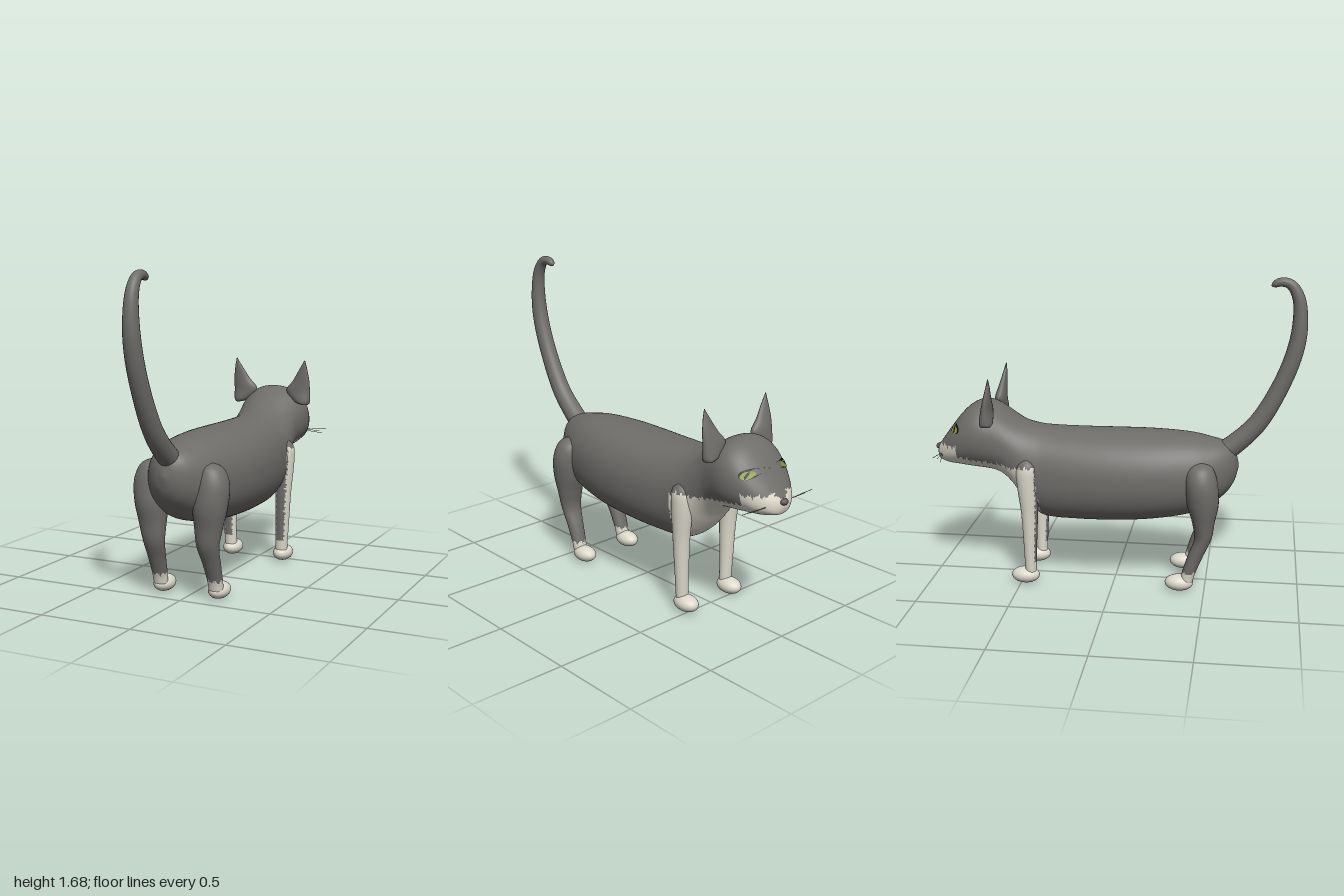
import * as THREE from 'three';

const mat = (name, color, side = THREE.FrontSide) => {
  const m = new THREE.MeshStandardMaterial({ color, side });
  m.name = name;
  return m;
};

// Smooth interpolation of key rows [position, value, value...] with ascending positions
function sampler(keys) {
  const slope = (i, k) => {
    const a = keys[Math.max(i - 1, 0)], b = keys[Math.min(i + 1, keys.length - 1)];
    return (b[k] - a[k]) / (b[0] - a[0]);
  };
  return (p) => {
    let i = 0;
    while (i < keys.length - 2 && p > keys[i + 1][0]) i++;
    const a = keys[i], b = keys[i + 1], h = b[0] - a[0], t = (p - a[0]) / h;
    const t2 = t * t, t3 = t2 * t;
    return a.slice(1).map((v, j) =>
      v * (2 * t3 - 3 * t2 + 1) + b[j + 1] * (3 * t2 - 2 * t3) +
      slope(i, j + 1) * h * (t3 - 2 * t2 + t) + slope(i + 1, j + 1) * h * (t3 - t2));
  };
}

// Closed skin through rings fn(u, angle) -> [x, y, z]; paint(centroid) picks the material index
function skin(name, nu, nv, fn, materials, paint = () => 0) {
  const pos = [], lists = materials.map(() => []), tris = [];
  for (let i = 0; i <= nu; i++)
    for (let j = 0; j < nv; j++) pos.push(...fn(i / nu, (j / nv) * Math.PI * 2));
  for (let i = 0; i < nu; i++)
    for (let j = 0; j < nv; j++) {
      const k = (j + 1) % nv, a = i * nv + j, b = i * nv + k, c = a + nv, d = b + nv;
      tris.push([a, b, d], [a, d, c]);
    }
  for (let j = 1; j < nv - 1; j++) {
    tris.push([0, j + 1, j], [nu * nv, nu * nv + j, nu * nv + j + 1]);
  }
  const P = (i) => new THREE.Vector3().fromArray(pos, i * 3);
  const volume = tris.reduce((s, t) => s + P(t[0]).dot(P(t[1]).cross(P(t[2]))), 0);
  for (const [a, b, c] of tris) {
    const mid = P(a).add(P(b)).add(P(c)).divideScalar(3);
    lists[paint(mid)].push(...(volume > 0 ? [a, b, c] : [a, c, b]));
  }
  const g = new THREE.BufferGeometry();
  g.setAttribute('position', new THREE.Float32BufferAttribute(pos, 3));
  g.setIndex(lists.flat());
  let start = 0;
  lists.forEach((l, i) => { g.addGroup(start, l.length, i); start += l.length; });
  g.computeVertexNormals();
  const mesh = new THREE.Mesh(g, materials);
  mesh.name = name;
  return mesh;
}

// Torso and head: z, top, bottom, half width
const BODY = [
  [-0.987, 0.705, 0.69, 0.006], [-0.975, 0.735, 0.658, 0.05], [-0.95, 0.772, 0.645, 0.092],
  [-0.9, 0.84, 0.635, 0.138], [-0.85, 0.905, 0.63, 0.167], [-0.8, 0.955, 0.625, 0.187],
  [-0.75, 0.983, 0.62, 0.199], [-0.7, 0.99, 0.615, 0.2], [-0.65, 0.975, 0.605, 0.193],
  [-0.6, 0.945, 0.58, 0.187], [-0.55, 0.91, 0.53, 0.19], [-0.5, 0.882, 0.46, 0.198],
  [-0.45, 0.867, 0.4, 0.205], [-0.38, 0.856, 0.355, 0.213], [-0.2, 0.85, 0.345, 0.235],
  [0, 0.85, 0.35, 0.25], [0.2, 0.85, 0.365, 0.245], [0.4, 0.84, 0.4, 0.212],
  [0.5, 0.822, 0.44, 0.178], [0.6, 0.795, 0.52, 0.115], [0.645, 0.75, 0.59, 0.06],
  [0.664, 0.68, 0.66, 0.008]];
// Legs: y, x, z, half width, half depth
const FRONT_LEG = [
  [0.05, 0.16, -0.447, 0.034, 0.03], [0.2, 0.165, -0.447, 0.038, 0.035],
  [0.4, 0.17, -0.447, 0.045, 0.045], [0.6, 0.176, -0.455, 0.054, 0.058],
  [0.68, 0.18, -0.455, 0.044, 0.05], [0.72, 0.18, -0.455, 0.006, 0.008]];
const HIND_LEG = [
  [0.05, 0.16, 0.405, 0.038, 0.033], [0.1, 0.16, 0.415, 0.041, 0.036],
  [0.2, 0.158, 0.45, 0.048, 0.041], [0.3, 0.155, 0.488, 0.06, 0.046],
  [0.4, 0.16, 0.49, 0.075, 0.061], [0.5, 0.166, 0.485, 0.09, 0.084],
  [0.6, 0.173, 0.477, 0.091, 0.087], [0.67, 0.17, 0.47, 0.076, 0.077],
  [0.71, 0.165, 0.47, 0.048, 0.05], [0.725, 0.165, 0.47, 0.006, 0.008]];
// Ears: y, x, z, half width, half depth
const EAR = [
  [0.89, 0.21, -0.668, 0.02, 0.028], [0.905, 0.193, -0.668, 0.046, 0.036],
  [0.97, 0.168, -0.667, 0.072, 0.031], [1.03, 0.189, -0.66, 0.05, 0.022],
  [1.1, 0.206, -0.65, 0.023, 0.011], [1.15, 0.216, -0.645, 0.002, 0.002]];

const N = 2.2; // roundness of the torso section
const body = sampler(BODY);

function bodyPoint(z, a) {
  const [top, bottom, w] = body(z), c = Math.cos(a), s = Math.sin(a);
  const r = (v) => Math.sign(v) * Math.abs(v) ** (2 / N);
  return [w * r(c), (top + bottom) / 2 + ((top - bottom) / 2) * r(s), z];
}

// Thin oval plate lying on the side of the head
function headPatch(name, side, y0, z0, ry, rz, lift, material) {
  const g = new THREE.CircleGeometry(1, 28), p = g.attributes.position;
  for (let i = 0; i < p.count; i++) {
    const z = z0 + p.getX(i) * rz, y = y0 + p.getY(i) * ry;
    const [top, bottom, w] = body(z);
    const k = Math.min(1, Math.abs((y - (top + bottom) / 2) / ((top - bottom) / 2)));
    p.setXYZ(i, side * (w * (1 - k ** N) ** (1 / N) + lift), y, z);
  }
  g.computeVertexNormals();
  const mesh = new THREE.Mesh(g, material);
  mesh.name = name;
  return mesh;
}

export function createModel() {
  const cat = new THREE.Group();
  cat.name = 'cat';
  const grey = mat('grey fur', 0x6f6d6a), white = mat('white fur', 0xdbd7ca);
  const black = mat('black', 0x0c0c0a, THREE.DoubleSide);
  const green = mat('eye green', 0x8a9a38, THREE.DoubleSide);
  const noseGrey = mat('nose grey', 0x5f5856), whiskerGrey = mat('whisker grey', 0x8c8c88);

  // Torso and head, with white chest, throat and muzzle
  const z0 = BODY[0][0], z1 = BODY[BODY.length - 1][0];
  const jag = (v) => 0.007 * Math.sin(v * 190) + 0.005 * Math.sin(v * 421);
  cat.add(skin('torsoAndHead', 200, 80, (u, a) => {
    const t = 0.5 - 0.5 * Math.cos(u * Math.PI); // rings gather at the ends
    return bodyPoint(z0 + (z1 - z0) * (0.5 * t + 0.5 * u), a);
  }, [grey, white], ({ x, y, z }) => {
    if (z > -0.4 + jag(x)) return 0;
    const edge = z < -0.845 ? 0.755 - 0.02 * Math.max(0, 1 - Math.abs(x) / 0.04)
      : 0.64 + (-0.4 - z) * 0.14;
    return y < edge + jag(z) ? 1 : 0;
  }));

  const column = (name, keys, side, nu, materials, paint) => {
    const f = sampler(keys), lo = keys[0][0], hi = keys[keys.length - 1][0];
    return skin(name, nu, 32, (u, a) => {
      const y = lo + (hi - lo) * u, [x, z, rx, rz] = f(y);
      return [side * (x + rx * Math.cos(a)), y, z + rz * Math.sin(a)];
    }, materials, paint);
  };

  for (const side of [1, -1]) {
    const label = side > 0 ? 'left' : 'right';
    // Front legs are white with a grey back; hind legs are grey with white ankles
    const front = sampler(FRONT_LEG);
    cat.add(column(label + 'FrontLeg', FRONT_LEG, side, 60, [grey, white], ({ y, z }) => {
      const [, cz, , rz] = front(y);
      return y > 0.67 + jag(z) || (y > 0.13 && z > cz + rz * (0.78 + 8 * jag(y))) ? 0 : 1;
    }));
    cat.add(column(label + 'HindLeg', HIND_LEG, side, 70, [grey, white],
      ({ x, y }) => (y < 0.11 + jag(x) ? 1 : 0)));
    for (const [name, z] of [['FrontPaw', -0.477], ['HindPaw', 0.365]]) {
      const paw = new THREE.Mesh(new THREE.SphereGeometry(1, 28, 18), white);
      paw.name = label + name;
      paw.scale.set(0.054, 0.044, 0.077);
      paw.position.set(side * 0.16, 0.047, z);
      cat.add(paw);
    }
    cat.add(column(label + 'Ear', EAR, side, 36, [grey]));

    // Eyes
    cat.add(headPatch(label + 'EyeRim', side, 0.853, -0.856, 0.024, 0.03, 0.003, black));
    cat.add(headPatch(label + 'Iris', side, 0.849, -0.857, 0.018, 0.021, 0.006, green));
    cat.add(headPatch(label + 'Pupil', side, 0.849, -0.858, 0.016, 0.005, 0.008, black));

    // Whiskers
    for (const [x, y, z] of [[0.235, 0.715, -0.957], [0.225, 0.69, -0.917], [0.2, 0.7, -0.94]]) {
      const path = new THREE.LineCurve3(
        new THREE.Vector3(side * 0.06, 0.7, -0.945), new THREE.Vector3(side * x, y, z));
      const whisker = new THREE.Mesh(new THREE.TubeGeometry(path, 1, 0.0015, 5), whiskerGrey);
      whisker.name = label + 'Whisker';
      cat.add(whisker);
    }
  }

  // Nose
  const nose = new THREE.Mesh(new THREE.SphereGeometry(1, 20, 14), noseGrey);
  nose.name = 'nose';
  nose.scale.set(0.025, 0.017, 0.02);
  nose.position.set(0, 0.718, -0.98);
  cat.add(nose);

  // Tail: tapered tube along a hooked curve
  const path = new THREE.CatmullRomCurve3([
    [0.56, 0.73], [0.63, 0.78], [0.755, 0.905], [0.865, 1.1], [0.935, 1.29], [0.957, 1.44],
    [0.943, 1.58], [0.9, 1.645], [0.85, 1.655], [0.805, 1.635]
  ].map(([z, y]) => new THREE.Vector3(0, y, z)));
  const radius = sampler([[0, 0.058], [0.15, 0.053], [0.4, 0.047], [0.65, 0.043], [0.82, 0.034],
    [0.93, 0.025], [0.985, 0.018], [1, 0.004]]);
  cat.add(skin('tail', 90, 24, (u, a) => {
    const p = path.getPointAt(u), t = path.getTangentAt(u), r = radius(u)[0];
    return [r * Math.cos(a), p.y + t.z * r * Math.sin(a), p.z - t.y * r * Math.sin(a)];
  }, [grey]));

  return cat;
}
